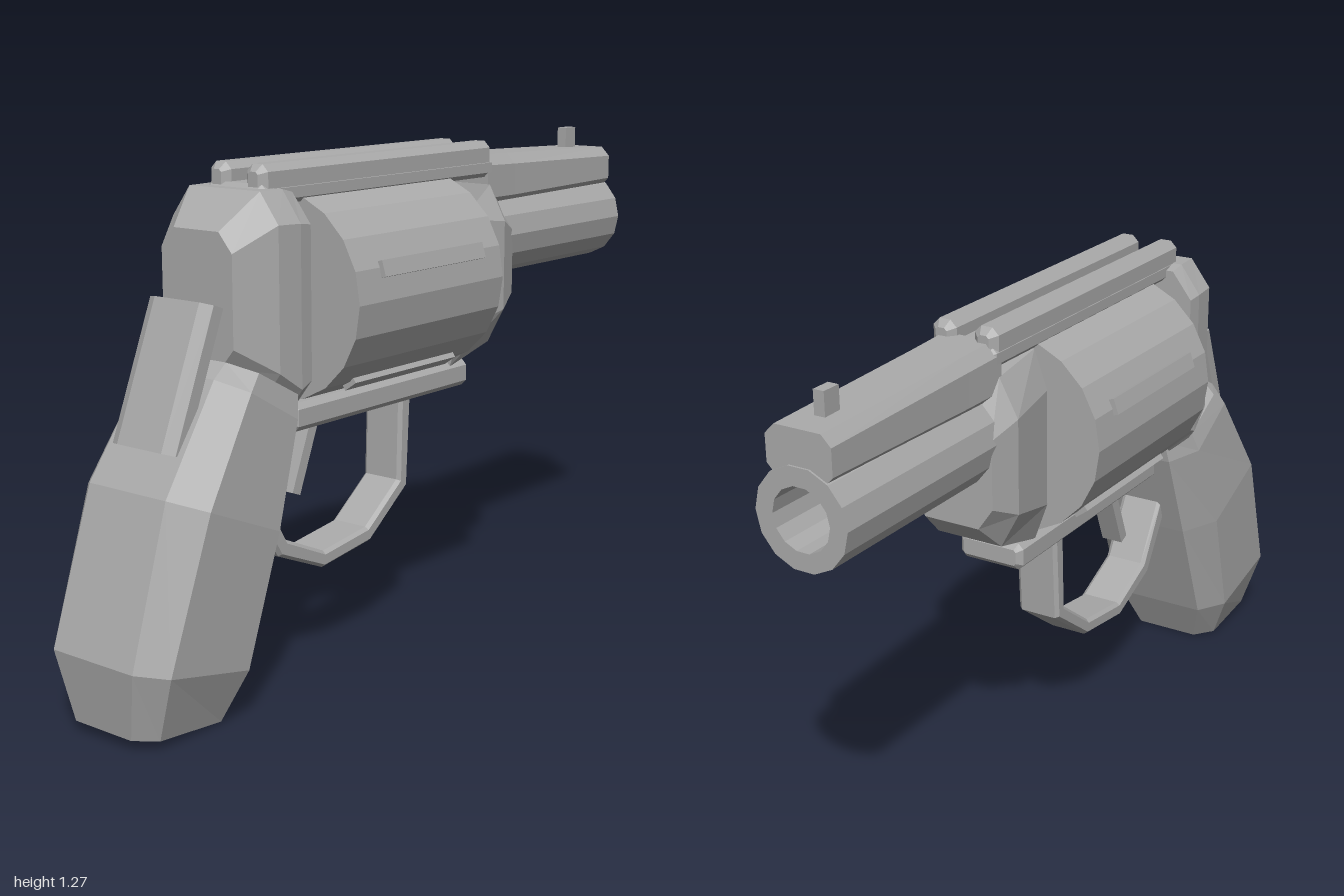
import * as THREE from 'three';

const steel = new THREE.MeshStandardMaterial({ color: 0xaaaaaa });
steel.name = 'grey steel';

// Faceted mesh from any geometry
function facet(geo, name) {
  const g = geo.index ? geo.toNonIndexed() : geo;
  g.computeVertexNormals();
  const mesh = new THREE.Mesh(g, steel);
  mesh.name = name;
  return mesh;
}

// Skin a row of convex loops (arrays of Vector3) and cap both ends
function loft(loops, name) {
  const tris = [];
  const n = loops[0].length;
  for (let s = 0; s < loops.length - 1; s++) {
    const a = loops[s], b = loops[s + 1];
    for (let i = 0; i < n; i++) {
      const j = (i + 1) % n;
      tris.push([a[i], a[j], b[j]], [a[i], b[j], b[i]]);
    }
  }
  const first = loops[0], last = loops[loops.length - 1];
  for (let i = 1; i < n - 1; i++) {
    tris.push([first[0], first[i + 1], first[i]], [last[0], last[i], last[i + 1]]);
  }
  // Turn the faces outward whichever way the loops run
  const volume = tris.reduce((v, [a, b, c]) => v + a.dot(b.clone().cross(c)), 0);
  const points = tris.flatMap(([a, b, c]) => (volume < 0 ? [a, c, b] : [a, b, c]));
  return facet(new THREE.BufferGeometry().setFromPoints(points), name);
}

// Eight-sided section with cut corners between points lo and hi, half width w
function section([lx, ly], [hx, hy], w, cutAlong, cutZ) {
  const at = (t, z) => new THREE.Vector3(lx + (hx - lx) * t, ly + (hy - ly) * t, z);
  const c = cutAlong, k = w - cutZ;
  return [at(0, -k), at(0, k), at(c, w), at(1 - c, w), at(1, k), at(1, -k), at(1 - c, -w), at(c, -w)];
}

// Bar along x with bevelled edges all round
function bevelBar(x0, x1, y0, y1, w, b, name) {
  const full = (x) => section([x, y0], [x, y1], w, b / (y1 - y0), b);
  const small = (x) => section([x, y0 + b], [x, y1 - b], w - b, 0.15, b * 0.4);
  return loft([small(x0), full(x0 + b), full(x1 - b), small(x1)], name);
}

// Straight bar between two points in the side plane
function strut([ax, ay], [bx, by], thick, width, name) {
  const mesh = facet(new THREE.BoxGeometry(thick, Math.hypot(bx - ax, by - ay), width), name);
  mesh.position.set((ax + bx) / 2, (ay + by) / 2, 0);
  mesh.rotation.z = Math.atan2(by - ay, bx - ax) - Math.PI / 2;
  return mesh;
}

export function createModel() {
  const model = new THREE.Group();
  model.name = 'revolver';

  // Hollow barrel
  const bore = [[0, 0.36], [0.12, 0.36], [0.12, 1], [0.075, 1], [0.075, 0.5], [0, 0.5]];
  const barrel = facet(new THREE.LatheGeometry(bore.map(([r, x]) => new THREE.Vector2(r, x)), 14).rotateZ(-Math.PI / 2), 'barrel');
  barrel.position.y = 1.015;
  model.add(barrel);

  // Barrel rib and front sight
  model.add(loft([
    section([0.37, 1.09], [0.37, 1.235], 0.09, 0.2, 0.025),
    section([0.5, 1.09], [0.5, 1.23], 0.088, 0.2, 0.025),
    section([0.995, 1.1], [0.995, 1.215], 0.085, 0.22, 0.025),
  ], 'barrelRib'));
  const sight = facet(new THREE.BoxGeometry(0.05, 0.075, 0.028), 'frontSight');
  sight.position.set(0.895, 1.237, 0);
  model.add(sight);

  // Top strap with two rails beside a groove
  model.add(bevelBar(-0.52, 0.4, 1.175, 1.225, 0.09, 0.012, 'topStrap'));
  for (const side of [-1, 1]) {
    const rail = bevelBar(-0.515, 0.395, 1.195, 1.27, 0.032, 0.017, 'strapRail');
    rail.position.z = side * 0.057;
    model.add(rail);
  }

  // Rotating drum with five ridges
  const drum = new THREE.Group();
  drum.name = 'drum';
  drum.position.set(-0.085, 0.945, 0);
  drum.add(facet(new THREE.CylinderGeometry(0.256, 0.256, 0.58, 20).rotateZ(Math.PI / 2), 'drumBody'));
  for (let i = 0; i < 5; i++) {
    const a = (17 + 72 * i) * Math.PI / 180;
    const ridge = facet(new THREE.BoxGeometry(0.405, 0.04, 0.03), 'drumRidge');
    ridge.position.set(0.003, Math.sin(a) * 0.252, Math.cos(a) * 0.252);
    ridge.rotation.x = -a;
    drum.add(ridge);
  }
  model.add(drum);

  // Frame blocks before and behind the drum
  model.add(loft([
    section([0.215, 0.685], [0.215, 1.175], 0.118, 0.2, 0.035),
    section([0.38, 0.73], [0.38, 1.155], 0.14, 0.22, 0.05),
    section([0.455, 0.8], [0.455, 1.085], 0.115, 0.2, 0.04),
  ], 'frontFrame'));
  model.add(loft([
    section([-0.645, 0.82], [-0.645, 1.13], 0.11, 0.15, 0.04),
    section([-0.55, 0.73], [-0.55, 1.215], 0.165, 0.15, 0.055),
    section([-0.48, 0.68], [-0.48, 1.215], 0.17, 0.14, 0.055),
    section([-0.44, 0.7], [-0.44, 1.205], 0.165, 0.14, 0.055),
  ], 'rearFrame'));
  model.add(bevelBar(-0.415, 0.295, 0.625, 0.695, 0.09, 0.014, 'lowerFrame'));

  // Grip
  model.add(loft([
    section([-0.69, 0.008], [-0.975, 0.035], 0.135, 0.16, 0.045),
    section([-0.635, 0.125], [-1.0, 0.205], 0.187, 0.16, 0.06),
    section([-0.53, 0.42], [-0.88, 0.57], 0.196, 0.18, 0.075),
    section([-0.45, 0.66], [-0.71, 0.81], 0.175, 0.2, 0.065),
    section([-0.44, 0.72], [-0.66, 0.84], 0.16, 0.2, 0.06),
  ], 'grip'));

  // Hammer
  model.add(loft([
    section([-0.84, 0.66], [-0.78, 0.64], 0.1, 0.25, 0.03),
    section([-0.71, 0.98], [-0.65, 0.958], 0.1, 0.25, 0.03),
  ], 'hammer'));

  // Trigger and its guard
  model.add(strut([-0.345, 0.45], [-0.268, 0.64], 0.03, 0.06, 'trigger'));
  const outer = [[0.08, 0.65], [0.065, 0.388], [-0.09, 0.272], [-0.275, 0.248], [-0.438, 0.317], [-0.54, 0.48]];
  const inner = [[0.036, 0.65], [0.028, 0.41], [-0.102, 0.312], [-0.27, 0.29], [-0.41, 0.353], [-0.51, 0.525]];
  const band = new THREE.Shape([...outer, ...inner.reverse()].map(([x, y]) => new THREE.Vector2(x, y)));
  const guard = new THREE.ExtrudeGeometry(band, {
    depth: 0.1, bevelEnabled: true, bevelSegments: 1, bevelThickness: 0.01, bevelSize: 0.008, bevelOffset: -0.008,
  });
  model.add(facet(guard.translate(0, 0, -0.05), 'triggerGuard'));

  return model;
}
